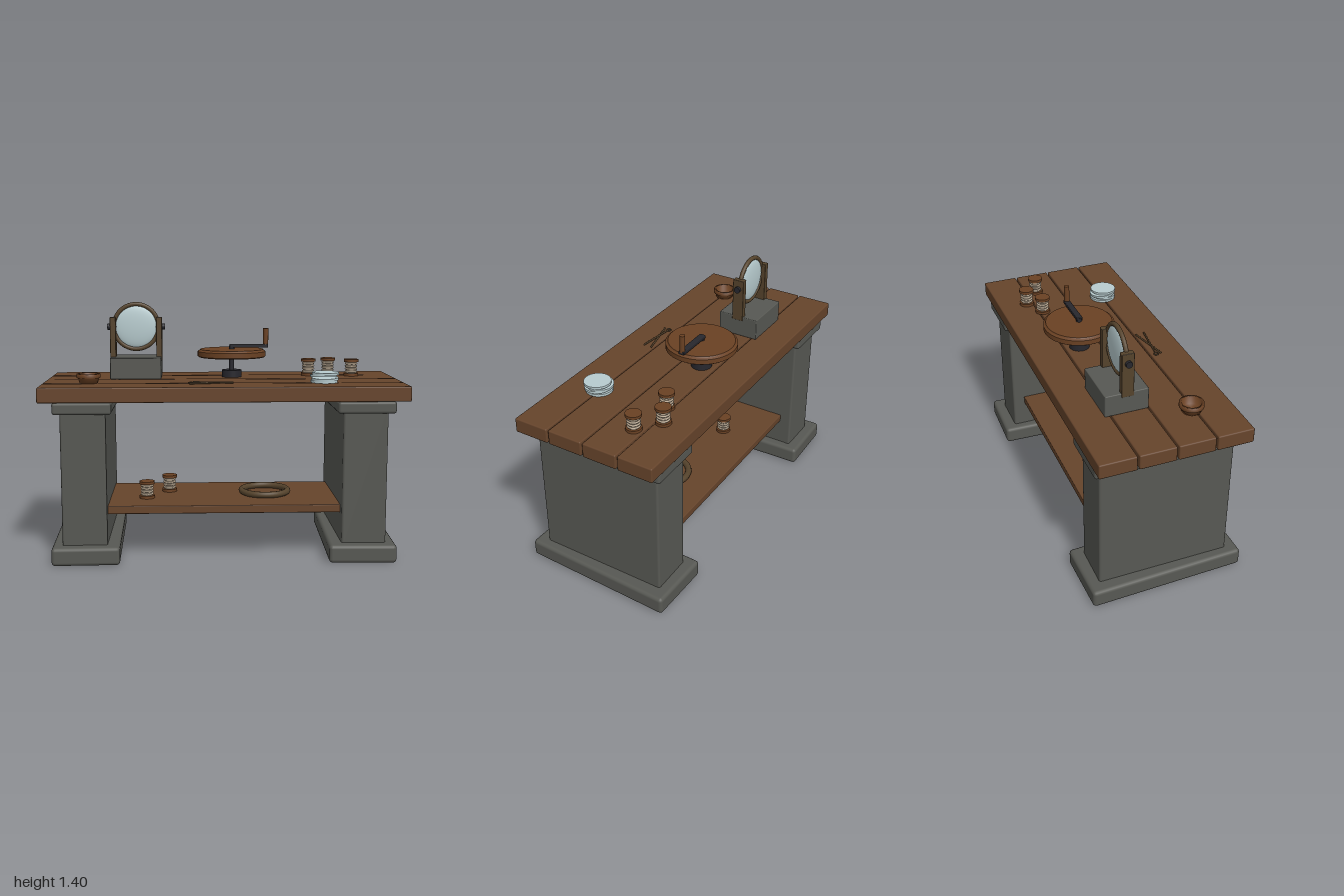
import * as THREE from 'three';
import { RoundedBoxGeometry } from 'three/addons/geometries/RoundedBoxGeometry.js';

const material = (name, color) => {
  const m = new THREE.MeshStandardMaterial({ color });
  m.name = name;
  return m;
};

export function createModel() {
  const model = new THREE.Group();
  model.name = 'workbench';

  const wood = material('plank wood', 0x66442b);
  const redWood = material('turned wood', 0x6a4123);
  const stone = material('grey stone', 0x575853);
  const bronze = material('aged bronze', 0x55432c);
  const iron = material('dark iron', 0x27272d);
  const thread = material('cream thread', 0xb5a48e);
  const glass = material('pale glass', 0xb8cccf);

  const add = (name, geometry, mat, x, y, z, parent = model) => {
    const mesh = new THREE.Mesh(geometry, mat);
    mesh.name = name;
    mesh.position.set(x, y, z);
    parent.add(mesh);
    return mesh;
  };
  // Rounded block given by its size, centre and edge radius
  const block = (name, mat, w, h, d, x, y, z, r) =>
    add(name, new RoundedBoxGeometry(w, h, d, 2, r), mat, x, y, z);
  const cylinder = (r, h, n = 24) => new THREE.CylinderGeometry(r, r, h, n);
  const lathe = (points, n = 40) =>
    new THREE.LatheGeometry(points.map(p => new THREE.Vector2(...p)), n);

  // Table top: four planks with narrow open gaps
  [[-0.415, -0.215], [-0.205, -0.007], [0.003, 0.203], [0.213, 0.413]].forEach(([a, b]) =>
    block('topPlank', wood, 2, 0.082, b - a, 0, 0.929, (a + b) / 2, 0.007));

  // Stone pedestals: base slightly twisted, column, capital
  for (const s of [-1, 1]) {
    const base = block('pedestalBase', stone, 0.37, 0.1, 0.87, s * 0.767, 0.05, 0, 0.02);
    base.rotation.y = s < 0 ? 0.024 : -0.03;
    block('pedestalColumn', stone, 0.245, 0.76, 0.74, s * 0.765, 0.465, 0, 0.012);
    block('pedestalCapital', stone, 0.316, 0.066, 0.812, s * 0.766, 0.855, 0, 0.015);
  }

  // Lower shelf
  block('shelf', wood, 1.29, 0.045, 0.6, 0, 0.277, 0, 0.005);

  // Thread spools: two flanges and a ridged winding
  const spool = (x, y, z) => {
    const g = new THREE.Group();
    g.name = 'spool';
    g.position.set(x, y, z);
    model.add(g);
    for (const h of [0.008, 0.09]) add('spoolFlange', cylinder(0.043, 0.016), redWood, 0, h, 0, g);
    add('spoolCore', cylinder(0.03, 0.07), thread, 0, 0.049, 0, g);
    for (let i = 0; i < 4; i++) {
      const turn = add('threadTurn', new THREE.TorusGeometry(0.031, 0.006, 8, 24), thread, 0, 0.025 + i * 0.016, 0, g);
      turn.rotation.x = Math.PI / 2;
    }
  };
  spool(0.515, 0.97, -0.19);
  spool(0.64, 0.97, -0.25);
  spool(0.765, 0.97, -0.155);
  spool(-0.435, 0.3, 0.1);
  spool(-0.31, 0.3, -0.07);

  // Ring lying on the shelf
  add('shelfRing', new THREE.TorusGeometry(0.133, 0.018, 10, 48), bronze, 0.245, 0.317, 0)
    .rotation.x = Math.PI / 2;

  // Stack of slightly tilted glass discs
  [[0.978, 0, 0], [0.994, 0.05, 0.004], [1.009, -0.05, -0.003], [1.023, 0.01, 0.006]].forEach(([y, tilt, shift], i) => {
    const disc = add('glassDisc', cylinder(0.074, 0.013, 32), glass, 0.555 + shift, y, 0.207 + shift);
    disc.rotation.set(tilt, i * 0.7, tilt * 0.5);
  });

  // Small bowl with a rim and hollow inside
  add('bowl', lathe([[0, 0], [0.05, 0], [0.058, 0.028], [0.065, 0.03], [0.065, 0.052],
    [0.051, 0.052], [0.045, 0.012], [0, 0.012]]), redWood, -0.745, 0.97, 0.185);

  // Lens stand: stone block, two posts, pivots, ring and lens
  const lensX = -0.497, lensY = 1.263, lensZ = -0.123;
  block('lensStandBlock', stone, 0.292, 0.122, 0.24, lensX, 1.03, -0.125, 0.005);
  for (const s of [-1, 1]) {
    block('lensPost', bronze, 0.034, 0.25, 0.068, lensX + s * 0.133, 1.193, lensZ, 0.004);
    const pivot = add('lensPivot', cylinder(0.018, 0.02), iron, lensX + s * 0.156, lensY, lensZ);
    const pin = add('lensPin', cylinder(0.009, 0.05, 12), iron, lensX + s * 0.133, lensY, lensZ);
    pivot.rotation.z = pin.rotation.z = Math.PI / 2;
  }
  add('lensRing', new THREE.TorusGeometry(0.129, 0.0125, 12, 48), bronze, lensX, lensY, lensZ);
  add('lens', new THREE.SphereGeometry(0.122, 40, 20), glass, lensX, lensY, lensZ).scale.z = 0.18;

  // Grinding wheel: iron foot and shaft, wooden wheel, crank with handle
  const wheelX = 0.057, wheelZ = -0.125;
  add('wheelFoot', cylinder(0.057, 0.042, 28), iron, wheelX, 0.99, wheelZ);
  add('wheelShaft', cylinder(0.015, 0.14, 16), iron, wheelX, 1.07, wheelZ);
  const wheelProfile = [[0, 0], [0.19, 0], [0.198, 0.006], [0.198, 0.034], [0.188, 0.04], [0.184, 0.046], [0, 0.046]];
  for (let i = 0; i + 1 < wheelProfile.length; i++) {
    // one band per edge keeps the rim crisp
    add('wheelBand', lathe([wheelProfile[i], wheelProfile[i + 1]], 48), redWood, wheelX, 1.086, wheelZ);
  }
  add('crankHub', cylinder(0.016, 0.025, 16), iron, wheelX, 1.14, wheelZ);
  block('crankArm', iron, 0.225, 0.02, 0.034, 0.157, 1.15, wheelZ, 0.004);
  add('crankHandle', cylinder(0.015, 0.1, 16), redWood, 0.256, 1.202, wheelZ);

  // Pair of thin crossed tongs on the table
  const rod = (x0, z0, x1, z1, y) => {
    const a = new THREE.Vector3(x0, y, z0), b = new THREE.Vector3(x1, y, z1);
    add('tongsArm', new THREE.TubeGeometry(new THREE.LineCurve3(a, b), 1, 0.005, 8), bronze, 0, 0, 0);
  };
  rod(-0.19, 0.272, 0.05, 0.217, 0.975);
  rod(-0.17, 0.24, 0.05, 0.265, 0.979);
  add('tongsLoop', new THREE.TorusGeometry(0.012, 0.004, 8, 16), bronze, -0.183, 0.976, 0.24)
    .rotation.x = Math.PI / 2;

  return model;
}
